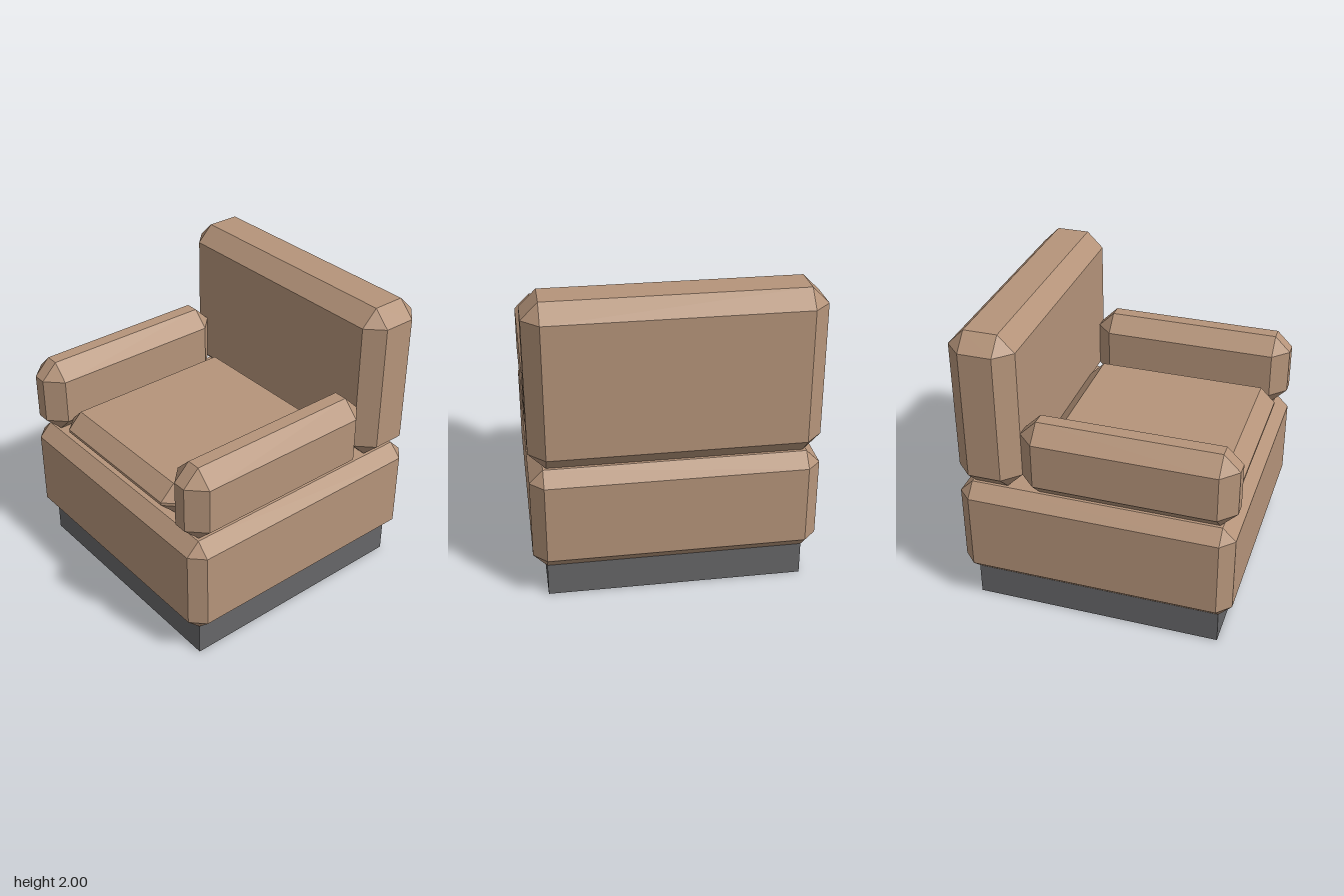
import * as THREE from 'three';
import { ConvexGeometry } from 'three/addons/geometries/ConvexGeometry.js';

// Box with flat bevels on every edge, given by its minimum and maximum corners
function chamferBox(min, max, c) {
  const half = max.map((v, i) => (v - min[i]) / 2);
  const points = [];
  for (const sx of [-1, 1]) for (const sy of [-1, 1]) for (const sz of [-1, 1]) {
    for (let axis = 0; axis < 3; axis++) {
      const p = half.map((h, i) => (i === axis ? h : h - c));
      points.push(new THREE.Vector3(sx * p[0], sy * p[1], sz * p[2]));
    }
  }
  const geometry = new ConvexGeometry(points);
  geometry.translate(...min.map((v, i) => (v + max[i]) / 2));
  return geometry;
}

export function createModel() {
  const group = new THREE.Group();
  group.name = 'armchair';
  const fabric = new THREE.MeshStandardMaterial({ color: 0xb5947a });
  fabric.name = 'tan upholstery';
  const dark = new THREE.MeshStandardMaterial({ color: 0x666668 });
  dark.name = 'dark grey plinth';

  const add = (name, geometry, material) => {
    const mesh = new THREE.Mesh(geometry, material);
    mesh.name = name;
    group.add(mesh);
  };

  // Plinth
  const plinth = new THREE.BoxGeometry(1.65, 0.22, 1.65);
  plinth.translate(0, 0.11, 0);
  add('plinth', plinth, dark);

  // Upholstered base, backrest and seat cushion
  add('seatBase', chamferBox([-0.912, 0.22, -0.912], [0.912, 0.915, 0.912], 0.087), fabric);
  add('backrest', chamferBox([-0.912, 0.915, -0.912], [0.912, 2, -0.48], 0.107), fabric);
  add('seatCushion', chamferBox([-0.61, 0.915, -0.48], [0.61, 1.135, 0.865], 0.1), fabric);

  // Armrests
  add('leftArmrest', chamferBox([0.61, 0.915, -0.48], [0.912, 1.435, 0.912], 0.107), fabric);
  add('rightArmrest', chamferBox([-0.912, 0.915, -0.48], [-0.61, 1.435, 0.912], 0.107), fabric);

  return group;
}
